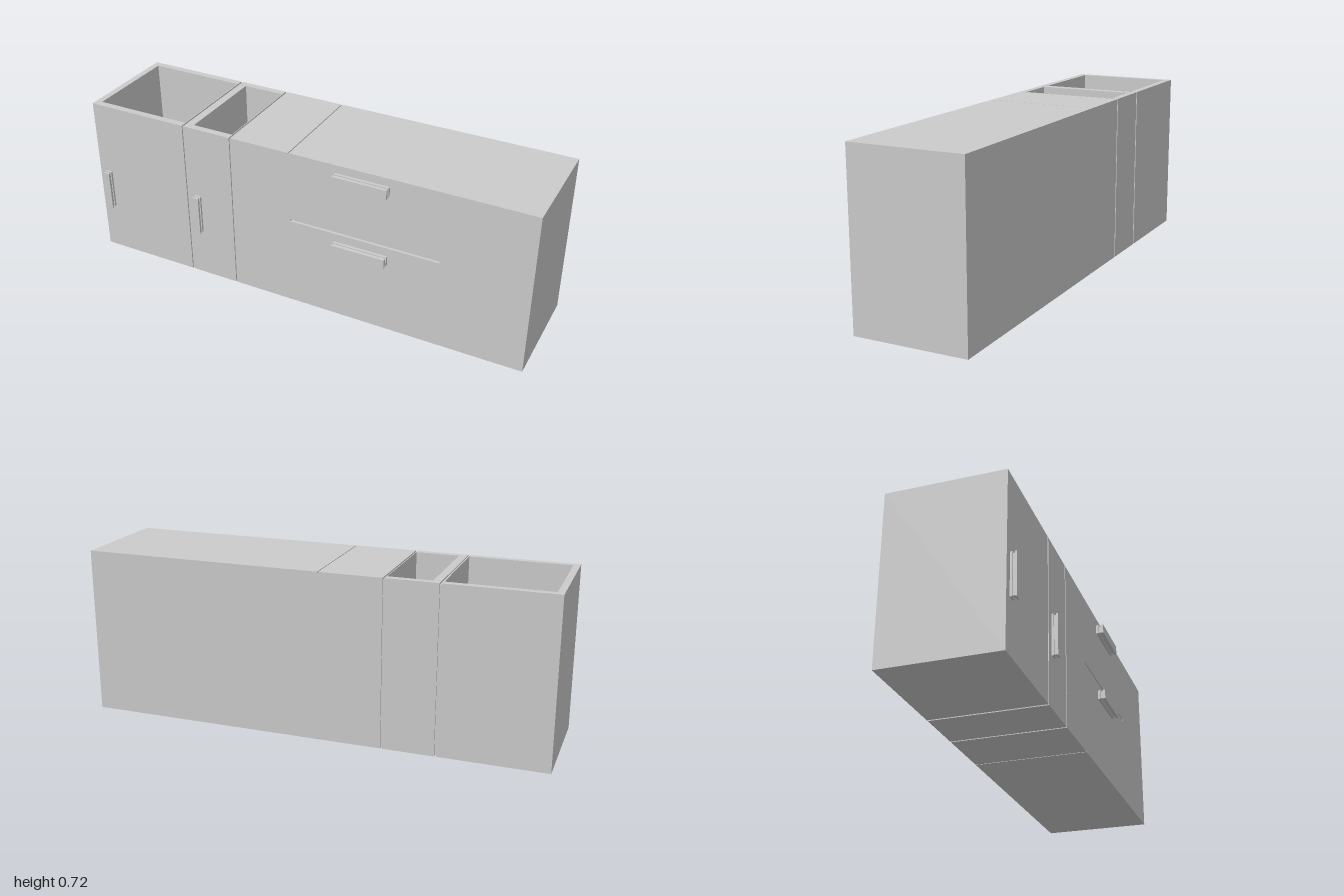
import * as THREE from 'three';

const H = 0.72, BACK = -0.257, FRONT = 0.224, WALL = 0.03;
const MID_Z = (BACK + FRONT) / 2, DEPTH = FRONT - BACK;

export function createModel() {
  const model = new THREE.Group();
  const material = new THREE.MeshStandardMaterial({ color: 0xcccccc });

  const add = (parent, name, geometry) => {
    const mesh = new THREE.Mesh(geometry, material);
    mesh.name = name;
    parent.add(mesh);
    return mesh;
  };
  // box given by its extents on each axis
  const block = (parent, name, x0, x1, y0, y1, z0, z1) =>
    add(parent, name, new THREE.BoxGeometry(x1 - x0, y1 - y0, z1 - z0))
      .position.set((x0 + x1) / 2, (y0 + y1) / 2, (z0 + z1) / 2);
  const rect = (Type, x0, x1, y0, y1) => new Type([
    new THREE.Vector2(x0, y0), new THREE.Vector2(x1, y0),
    new THREE.Vector2(x1, y1), new THREE.Vector2(x0, y1),
  ]);

  // open-topped cabinets: a rectangular tube of walls plus a floor
  function openCabinet(name, x0, x1, inner0, inner1) {
    const group = new THREE.Group();
    group.name = name;
    const outline = rect(THREE.Shape, x0, x1, -FRONT, -BACK);
    outline.holes.push(rect(THREE.Path, inner0, inner1, -FRONT + WALL, -BACK - WALL));
    add(group, 'walls', new THREE.ExtrudeGeometry(outline, { depth: H, bevelEnabled: false })
      .rotateX(-Math.PI / 2));
    block(group, 'floor', inner0, inner1, 0, WALL, BACK + WALL, FRONT - WALL);
    model.add(group);
  }
  openCabinet('wideOpenCabinet', -1, -0.541, -0.972, -0.544);
  openCabinet('narrowOpenCabinet', -0.533, -0.313, -0.5, -0.316);

  // recessed strips in the joints between cabinets
  for (const [x0, x1] of [[-0.541, -0.533], [-0.313, -0.306]]) {
    block(model, 'jointStrip', x0, x1, 0.006, H - 0.006, BACK + 0.006, FRONT - 0.006);
  }

  // drawer cabinet: carcass with a fine seam across its top and bottom
  const drawers = new THREE.Group();
  drawers.name = 'drawerCabinet';
  const panel = 0.03, seam = -0.037, s = 0.002, d = 0.005;
  const carcass = new THREE.Shape([
    [-0.306, 0], [seam - s, 0], [seam - s, d], [seam + s, d], [seam + s, 0], [1, 0],
    [1, H], [seam + s, H], [seam + s, H - d], [seam - s, H - d], [seam - s, H], [-0.306, H],
  ].map(([x, y]) => new THREE.Vector2(x, y)));
  add(drawers, 'carcass', new THREE.ExtrudeGeometry(carcass,
    { depth: DEPTH - panel, bevelEnabled: false })).position.z = BACK;

  // front panel with the slot between the two drawers
  const front = carcass.clone();
  front.holes.push(rect(THREE.Path, -0.033, 0.625, 0.4, 0.409));
  add(drawers, 'drawerFront', new THREE.ExtrudeGeometry(front,
    { depth: panel, bevelEnabled: false })).position.z = FRONT - panel;
  model.add(drawers);

  // handles: base plate, narrower neck and grip plate
  function handle(name, x0, x1, y0, y1, zBase, zNeck, zEnd) {
    const group = new THREE.Group();
    group.name = name;
    const i = 0.005;
    block(group, 'base', x0, x1, y0, y1, FRONT, zBase);
    block(group, 'neck', x0 + i, x1 - i, y0 + i, y1 - i, zBase, zNeck);
    block(group, 'grip', x0, x1, y0, y1, zNeck, zEnd);
    model.add(group);
  }
  for (const x of [-0.967, -0.498]) {
    handle('doorHandle', x, x + 0.029, 0.218, 0.396, 0.233, 0.242, 0.25);
  }
  for (const y of [0.322, 0.644]) {
    handle('drawerHandle', 0.17, 0.405, y, y + 0.041, 0.236, 0.245, 0.257);
  }
  return model;
}
